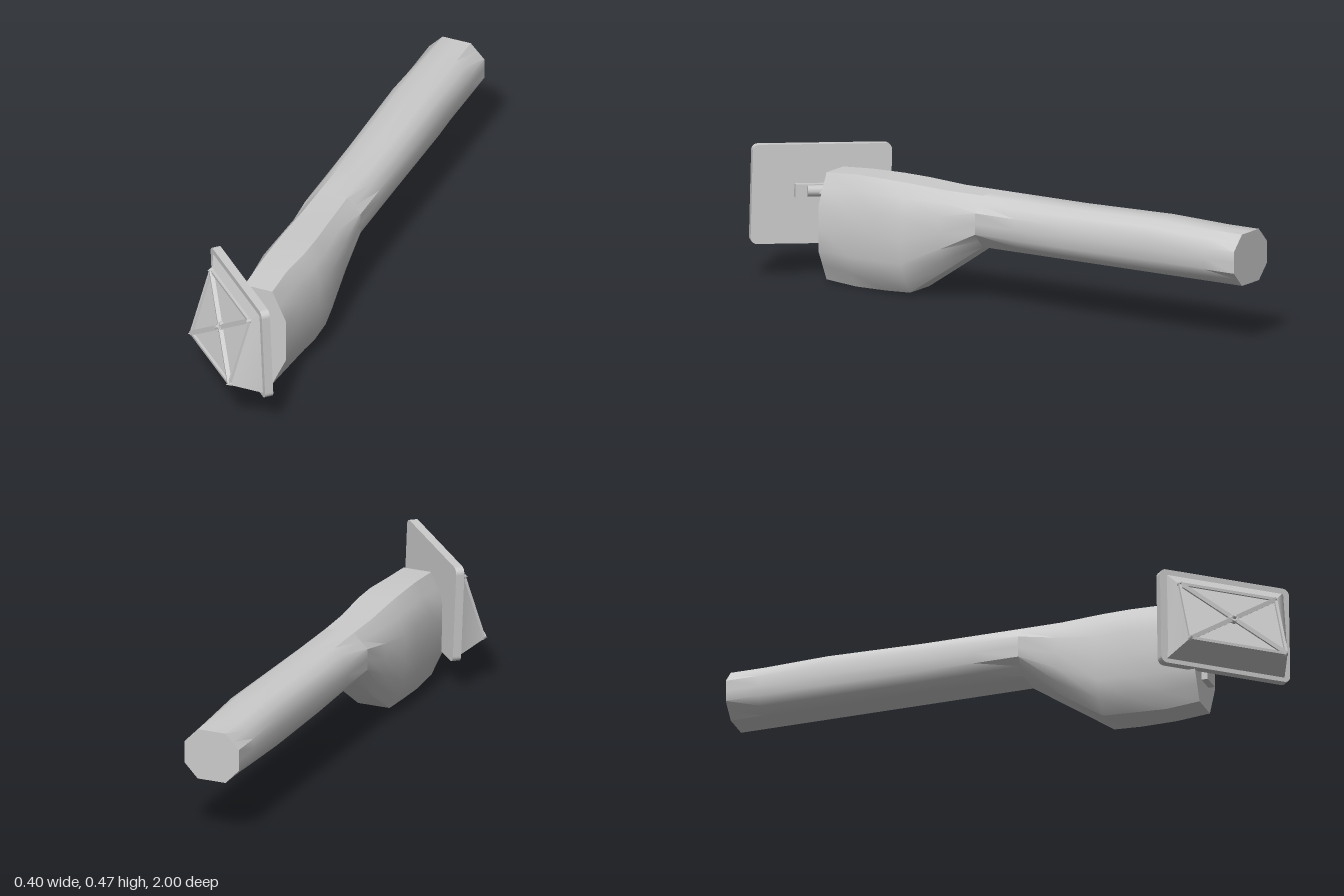
import * as THREE from 'three';
import { toCreasedNormals } from 'three/addons/utils/BufferGeometryUtils.js';

const grey = new THREE.MeshStandardMaterial({ color: 0xcccccc });

function add(parent, name, geometry, x = 0, y = 0, z = 0) {
  const mesh = new THREE.Mesh(geometry, grey);
  mesh.name = name;
  mesh.position.set(x, y, z);
  parent.add(mesh);
  return mesh;
}

// Eight-sided cross-section with midpoints pushed out by "round"
function ring({ z, x0, x1, y0, y1, round = 0 }) {
  const cx = (x0 + x1) / 2, cy = (y0 + y1) / 2, hw = (x1 - x0) / 2, hh = (y1 - y0) / 2;
  const a = 0.51, b = 0.42;
  const corners = [[1, -b], [1, b], [a, 1], [-a, 1], [-1, b], [-1, -b], [-a, -1], [a, -1]];
  const points = [];
  corners.forEach((p, i) => {
    const q = corners[(i + 1) % 8];
    // only the sloping chamfers swell, so the overall size stays
    const swell = 1 + (i % 2 ? round : 0);
    points.push([p[0], p[1]], [(p[0] + q[0]) / 2 * swell, (p[1] + q[1]) / 2 * swell]);
  });
  return points.map(([u, v]) => [cx + u * hw, cy + v * hh, z]);
}

// Closed loft through cross-sections running towards +z
function loft(sections) {
  const rings = sections.map(ring);
  const n = rings[0].length, last = rings.length - 1;
  const index = [], position = rings.flat(2);
  for (let i = 0; i < last; i++) {
    for (let j = 0; j < n; j++) {
      const k = (j + 1) % n;
      const a = i * n + j, b = i * n + k, c = b + n, d = a + n;
      index.push(a, b, c, a, c, d);
    }
  }
  for (let j = 1; j < n - 1; j++) {
    index.push(0, j + 1, j, last * n, last * n + j, last * n + j + 1);
  }
  const g = new THREE.BufferGeometry();
  g.setAttribute('position', new THREE.Float32BufferAttribute(position, 3));
  g.setIndex(index);
  return toCreasedNormals(g, 0.75);
}

// Square bar between two points
function bar(parent, name, from, to, width) {
  const mesh = add(parent, name, new THREE.BoxGeometry(width, width, from.distanceTo(to)));
  mesh.position.copy(from).lerp(to, 0.5);
  mesh.lookAt(to);
  return mesh;
}

function roundedRect(w, h, r) {
  const s = new THREE.Shape(), x = w / 2, y = h / 2;
  s.absarc(x - r, y - r, r, 0, Math.PI / 2);
  s.absarc(-x + r, y - r, r, Math.PI / 2, Math.PI);
  s.absarc(-x + r, -y + r, r, Math.PI, Math.PI * 1.5);
  s.absarc(x - r, -y + r, r, Math.PI * 1.5, Math.PI * 2);
  s.closePath();
  return s;
}

function createPanel() {
  const panel = new THREE.Group();
  panel.name = 'panel';

  // Back plate with rounded corners
  const plate = new THREE.ExtrudeGeometry(roundedRect(0.485, 0.345, 0.022), {
    depth: 0.03, bevelEnabled: false, curveSegments: 3,
  });
  add(panel, 'backPlate', plate, 0, 0, -0.015);

  // Wedge whose lower edge stands further out
  const wedge = new THREE.BoxGeometry(1, 1, 1);
  const p = wedge.attributes.position;
  for (let i = 0; i < p.count; i++) {
    const sx = Math.sign(p.getX(i)), sy = Math.sign(p.getY(i));
    if (p.getZ(i) > 0) p.setXYZ(i, sx * 0.185, sy * 0.12, 0.075 - sy * 0.042);
    else p.setXYZ(i, sx * 0.222, sy * 0.158, 0.012);
  }
  wedge.computeVertexNormals();
  add(panel, 'wedgeCover', wedge);

  // Frame, diagonals, corner studs and hub on the sloping face
  const at = (u, v) => new THREE.Vector3(u, v, 0.079 - v * 0.35);
  const corners = [[-1, 1], [1, 1], [1, -1], [-1, -1]].map(([a, b]) => at(a * 0.18, b * 0.116));
  const centre = at(0, 0);
  corners.forEach((c, i) => {
    bar(panel, 'frameBar', c, corners[(i + 1) % 4], 0.01);
    bar(panel, 'diagonalBar', c, centre, 0.015);
    const stud = add(panel, 'cornerStud', new THREE.ConeGeometry(0.01, 0.018, 6));
    stud.position.copy(c).add(new THREE.Vector3(0, 0, 0.005));
    stud.rotation.x = Math.PI / 2;
  });
  const tilt = Math.PI / 2 - Math.atan(0.35);
  const hub = add(panel, 'hub', new THREE.CylinderGeometry(0.016, 0.022, 0.016, 8));
  hub.position.copy(centre);
  hub.rotation.x = tilt;
  const pin = add(panel, 'hubPin', new THREE.CylinderGeometry(0.006, 0.009, 0.014, 6));
  pin.position.copy(centre).add(new THREE.Vector3(0, 0.004, 0.012));
  pin.rotation.x = tilt;

  // Pivot bracket on the rear of the plate
  add(panel, 'pivotBracket', new THREE.BoxGeometry(0.11, 0.045, 0.025), 0.04, 0.015, -0.027);
  const pivot = add(panel, 'pivotBarrel', new THREE.CylinderGeometry(0.02, 0.02, 0.07, 10), 0.02, 0.015, -0.04);
  pivot.rotation.z = Math.PI / 2;

  // Turned to one side and leaning very slightly
  const u = new THREE.Vector3(0.7, 0.03, 0.71).normalize();
  const v = new THREE.Vector3(-0.04, 1, 0).addScaledVector(u, -u.dot(new THREE.Vector3(-0.04, 1, 0))).normalize();
  const n = new THREE.Vector3().crossVectors(u, v);
  panel.quaternion.setFromRotationMatrix(new THREE.Matrix4().makeBasis(u, v, n));
  panel.position.set(0.015, 0.293, 0.777);
  return panel;
}

export function createModel() {
  const model = new THREE.Group();
  model.name = 'armWithPanel';

  // Long rear tube
  const tube = { x0: -0.06, x1: 0.145, y0: 0.21, y1: 0.39 };
  add(model, 'rearTube', loft([
    { ...tube, z: -1 },
    { ...tube, z: -0.88, round: 0.04 },
    { ...tube, z: -0.65, y1: 0.397, round: 0.1 },
    { ...tube, z: -0.3, round: 0.08 },
    { ...tube, z: -0.1, round: 0.04 },
    { ...tube, z: 0.06 },
  ]));

  // Deep front housing, swelling at the middle
  const deep = { x0: -0.06, x1: 0.145, y0: 0.015, y1: 0.39 };
  add(model, 'frontHousing', loft([
    { ...tube, z: 0.06 },
    { ...tube, z: 0.2, y0: 0.115, x0: -0.063, x1: 0.15, round: 0.04 },
    { ...deep, z: 0.35, x0: -0.068, x1: 0.163, y1: 0.398, round: 0.07 },
    { ...deep, z: 0.45, x0: -0.068, x1: 0.163, y0: 0.01, y1: 0.4, round: 0.08 },
    { ...deep, z: 0.58, y0: 0.005, y1: 0.398, round: 0.04 },
    { ...deep, z: 0.7 },
  ]));

  // Mounting pad and twin struts behind the panel
  add(model, 'mountingPad', new THREE.BoxGeometry(0.07, 0.2, 0.025), 0.045, 0.205, 0.71);
  for (const x of [0.025, 0.06]) {
    const strut = add(model, 'strut', new THREE.CylinderGeometry(0.008, 0.008, 0.1, 8), x, 0.305, 0.74);
    strut.rotation.x = Math.PI / 2;
  }

  model.add(createPanel());
  return model;
}
